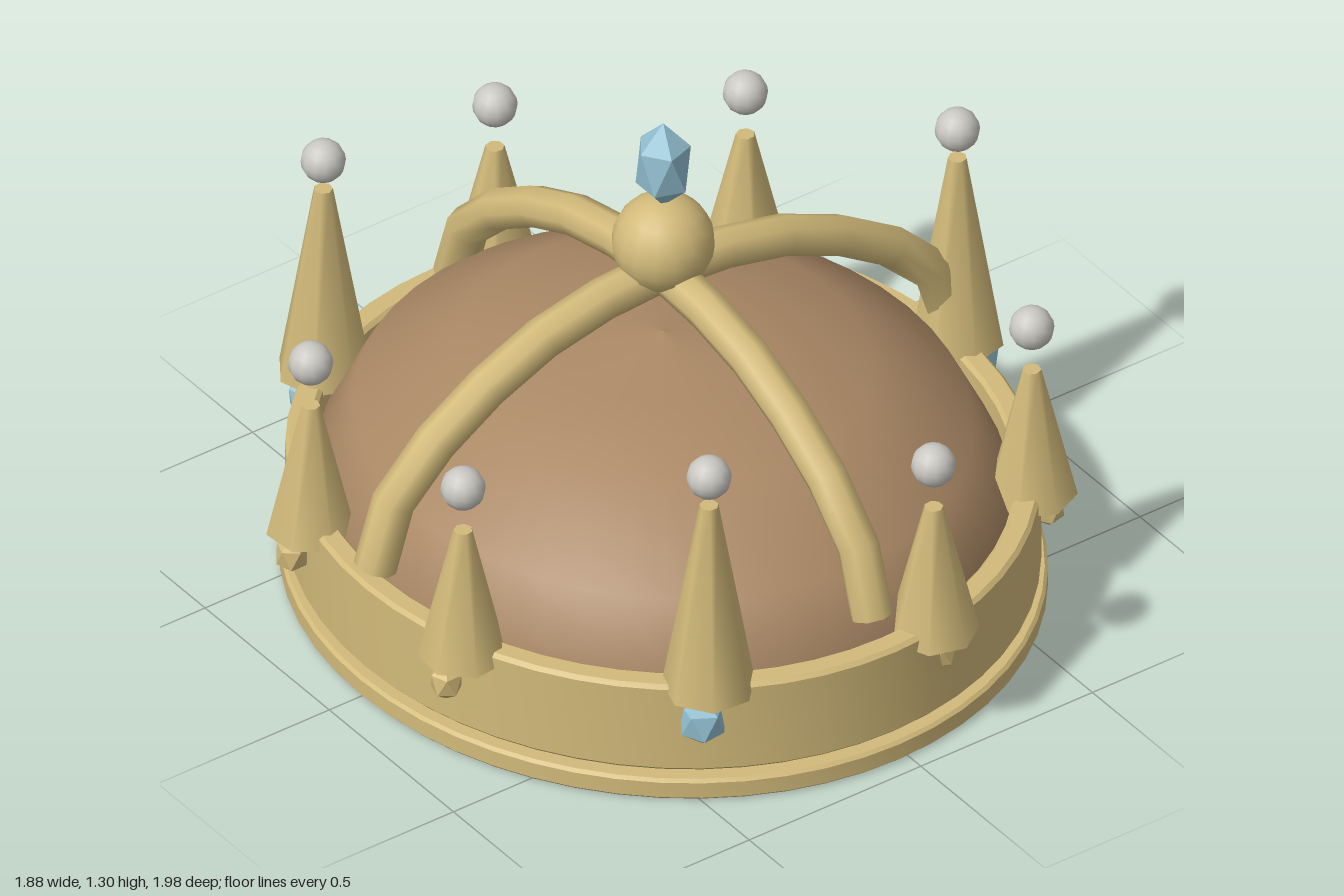
import * as THREE from 'three';
import { toCreasedNormals } from 'three/addons/utils/BufferGeometryUtils.js';

function material(name, color, extra = {}) {
  const m = new THREE.MeshStandardMaterial({ color, ...extra });
  m.name = name;
  return m;
}

export function createModel() {
  const gold = material('gold', 0xd2ba7a, { side: THREE.DoubleSide });
  const goldFacet = material('gold', 0xd2ba7a, { flatShading: true });
  const velvet = material('brown velvet', 0xaa8865, { side: THREE.DoubleSide });
  const pearl = material('pearl', 0xcac8c2);
  const blue = material('blue gem', 0x93c0d2, { flatShading: true });

  const crown = new THREE.Group();
  crown.name = 'crown';
  crown.position.x = -0.027;

  const add = (name, geometry, mat, x = 0, y = 0, z = 0) => {
    const mesh = new THREE.Mesh(geometry, mat);
    mesh.name = name;
    mesh.position.set(x, y, z);
    crown.add(mesh);
    return mesh;
  };

  // Oval lathe: slightly narrower across x than along z
  const OVAL = 0.925;
  const ovalLathe = (points, segments) =>
    new THREE.LatheGeometry(points.map(([r, y]) => new THREE.Vector2(r, y)), segments).scale(OVAL, 1, 1);

  // Closed ring of rectangular section with a small bevel
  const ring = (inner, outer, y0, y1, b) => toCreasedNormals(ovalLathe([
    [inner, y0], [outer - b, y0], [outer, y0 + b], [outer, y1 - b],
    [outer - b, y1], [inner + b, y1], [inner, y1 - b], [inner, y0],
  ], 56), 0.6);

  // Gem with a vertex pointing straight up
  const gem = (radius, height) => new THREE.IcosahedronGeometry(1, 0)
    .rotateZ(Math.atan(2 / (1 + Math.sqrt(5))))
    .scale(radius, height, radius);

  // Headband
  add('baseRing', ring(0.875, 0.955, 0, 0.058, 0.008), gold);
  add('band', ring(0.873, 0.938, 0.072, 0.32, 0.01), gold);

  // Cloth cap
  add('cap', ovalLathe([
    [0.862, 0.09], [0.862, 0.28], [0.77, 0.455], [0.52, 0.612],
    [0.26, 0.655], [0.03, 0.683], [0.001, 0.69],
  ], 48), velvet);

  // Two crossing arches
  const half = [[0.84, 0.36], [0.78, 0.54], [0.57, 0.716], [0.316, 0.832]];
  const archPoints = [
    ...half.map(([r, y]) => new THREE.Vector3(-r, y, 0)),
    new THREE.Vector3(0, 0.872, 0),
    ...half.slice().reverse().map(([r, y]) => new THREE.Vector3(r, y, 0)),
  ];
  const archGeometry = new THREE.TubeGeometry(new THREE.CatmullRomCurve3(archPoints), 12, 0.052, 8);
  add('sideArch', archGeometry, gold);
  add('frontArch', archGeometry, gold).rotation.y = Math.PI / 2;

  // Orb and crystal on top
  add('orb', new THREE.SphereGeometry(0.123, 16, 12), gold, 0, 0.955, 0);
  add('topCrystal', gem(0.073, 0.12), blue, 0, 1.18, 0);

  // Spikes, pearls and band gems; every third spike is tall
  const pearlGeometry = new THREE.SphereGeometry(0.054, 12, 10);
  const blueGem = gem(0.06, 0.072);
  const goldGem = gem(0.042, 0.052);
  for (let i = 0; i < 9; i++) {
    const a = (i * Math.PI * 2) / 9;
    const c = Math.cos(a), s = Math.sin(a);
    const tall = i % 3 === 0;
    const y0 = tall ? 0.3 : 0.28, y1 = tall ? 0.83 : 0.64;
    const x = 0.857 * c, z = 0.897 * s;
    const spikeGeometry = new THREE.CylinderGeometry(0.023, tall ? 0.113 : 0.109, y1 - y0, 7, 1, false, Math.PI / 2);
    add('spike', spikeGeometry, gold, x, (y0 + y1) / 2, z).rotation.y = -a;
    add('pearl', pearlGeometry, pearl, x, tall ? 0.912 : 0.762, z);
    add('bandGem', tall ? blueGem : goldGem, tall ? blue : goldFacet, 0.912 * c, 0.222, 0.91 * s).rotation.y = -a;
  }

  const model = new THREE.Group();
  model.name = 'model';
  model.add(crown);
  return model;
}
